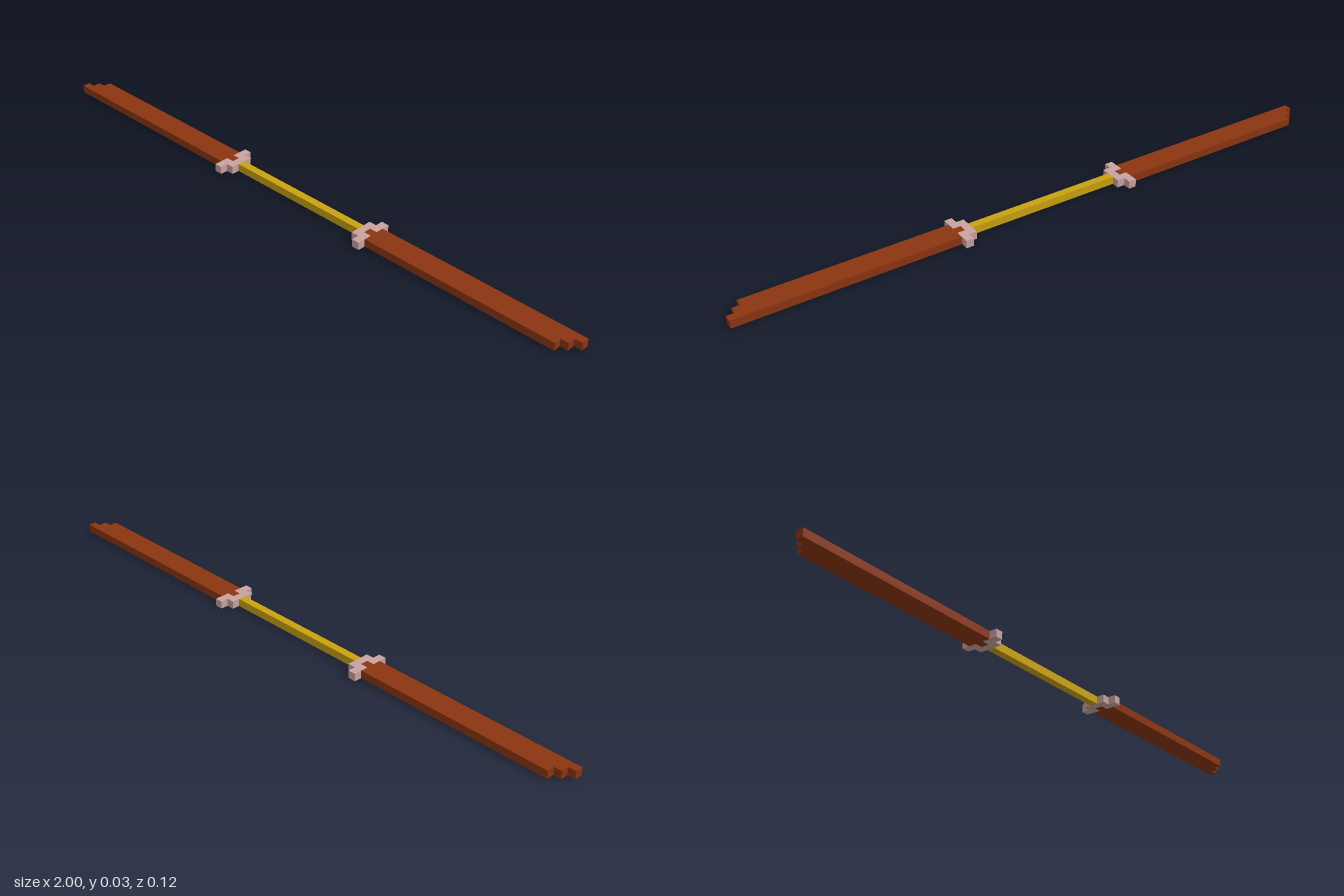
import * as THREE from 'three';

const U = 0.025; // block size

export function createModel() {
  const mat = (name, color) => {
    const m = new THREE.MeshStandardMaterial({ color });
    m.name = name;
    return m;
  };
  const bladeMat = mat('russet brown', 0x8b3510);
  const gripMat = mat('gold', 0xc9a20f);
  const guardMat = mat('dusty pink', 0xc8a2a0);

  const model = new THREE.Group();
  model.name = 'doubleBlade';

  // Box spanning x0..x1 and z0..z1 in block units, one block tall
  const bar = (parent, name, material, x0, x1, z0, z1) => {
    const mesh = new THREE.Mesh(new THREE.BoxGeometry((x1 - x0) * U, U, (z1 - z0) * U), material);
    mesh.name = name;
    mesh.position.set((x0 + x1) / 2 * U, U / 2, (z0 + z1) / 2 * U);
    parent.add(mesh);
  };

  // Central grip
  bar(model, 'grip', gripMat, -10, 10, -0.5, 0.5);

  // The two ends are the same half turned by 180 degrees
  ['left', 'right'].forEach((side, i) => {
    const half = new THREE.Group();
    half.name = side + 'End';
    half.rotation.y = i * Math.PI;

    // Guard: inner collar and two prongs that clasp the blade root
    bar(half, 'guardCollar', guardMat, 10, 11, -1.5, 1.5);
    bar(half, 'guardProngBack', guardMat, 11, 12, -2.5, -0.5);
    bar(half, 'guardProngFront', guardMat, 11, 12, 0.5, 2.5);

    // Blade: three strips with a stepped tip, the middle one set into the guard
    bar(half, 'bladeEdge', bladeMat, 12, 40, -1.5, -0.5);
    bar(half, 'bladeCore', bladeMat, 11, 39, -0.5, 0.5);
    bar(half, 'bladeSpine', bladeMat, 12, 38, 0.5, 1.5);

    model.add(half);
  });

  return model;
}
